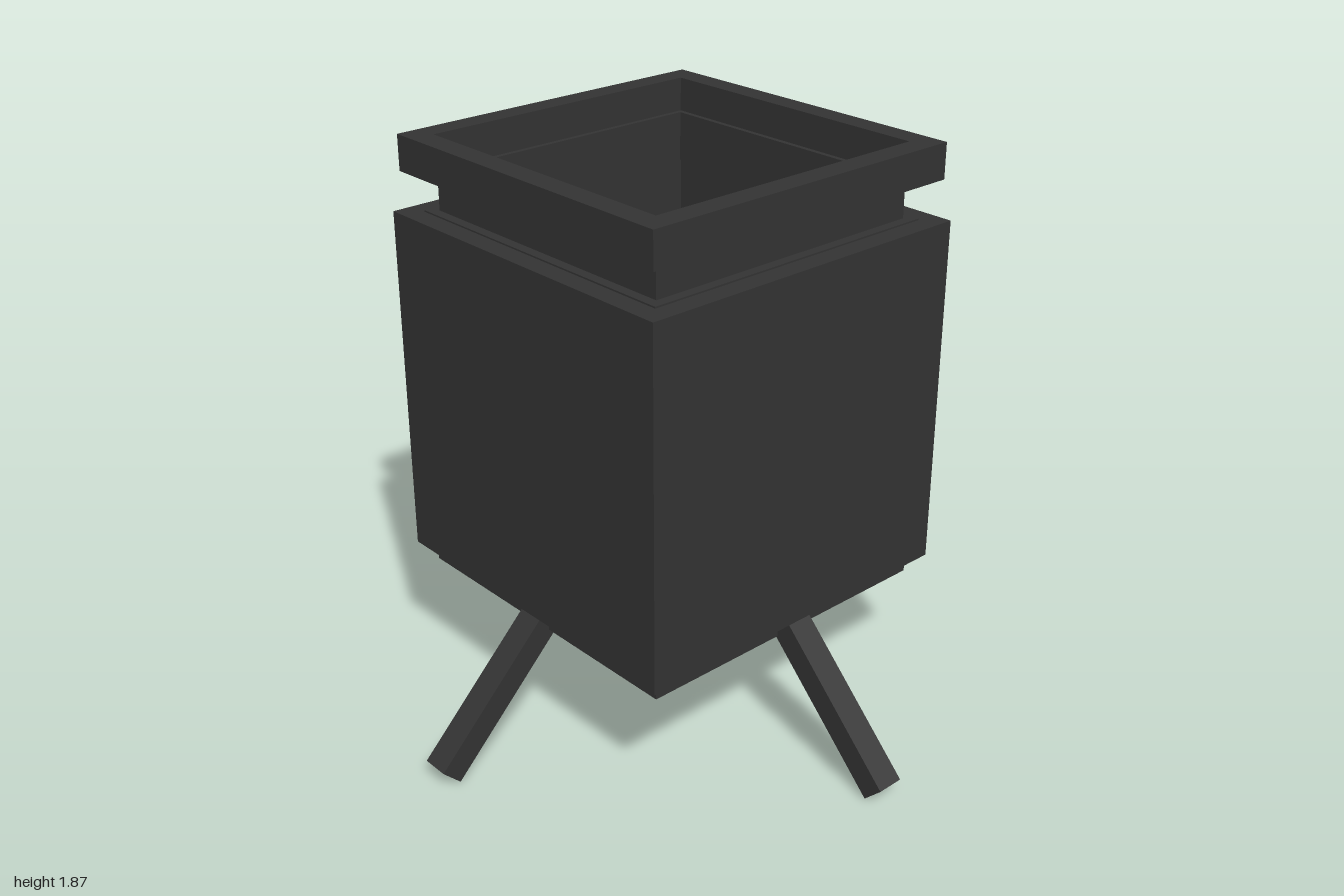
import * as THREE from 'three';

const material = new THREE.MeshStandardMaterial({ color: 0x333333, flatShading: true });

function add(parent, name, geometry) {
  const mesh = new THREE.Mesh(geometry, material);
  mesh.name = name;
  parent.add(mesh);
  return mesh;
}

// Square frame: outer and inner half-widths, between heights y0 and y1
function squareFrame(outer, inner, y0, y1) {
  const corners = (r) => [[-r, -r], [r, -r], [r, r], [-r, r]].map(([x, y]) => new THREE.Vector2(x, y));
  const shape = new THREE.Shape(corners(outer));
  shape.holes.push(new THREE.Path(corners(inner).reverse()));
  const geometry = new THREE.ExtrudeGeometry(shape, { depth: y1 - y0, bevelEnabled: false });
  return geometry.rotateX(-Math.PI / 2).translate(0, y0, 0);
}

export function createModel() {
  const model = new THREE.Group();
  model.name = 'brazier';

  // Hollow body with its base plate
  add(model, 'basePlate', new THREE.BoxGeometry(1.1, 0.07, 1.1).translate(0, 0.435, 0));
  add(model, 'bodyWalls', squareFrame(0.598, 0.52, 0.462, 1.622));

  // Stepped open top
  add(model, 'neckFlange', squareFrame(0.53, 0.48, 1.59, 1.627));
  add(model, 'neck', squareFrame(0.497, 0.48, 1.62, 1.755));
  add(model, 'rim', squareFrame(0.578, 0.5, 1.75, 1.865));

  // Four splayed legs, sloping down at 45 degrees
  const thickness = 0.085;
  const length = 0.58;
  for (let i = 0; i < 4; i++) {
    const foot = i % 2 ? 0.945 : 0.97;
    const pivot = new THREE.Group();
    pivot.name = 'legMount';
    pivot.rotation.y = i * Math.PI / 2;
    const leg = add(pivot, 'leg', new THREE.BoxGeometry(0.09, thickness, length));
    leg.rotation.x = Math.PI / 4;
    const half = (length / 2) * Math.SQRT1_2;
    leg.position.set(0, thickness / 2 * Math.SQRT1_2 + half, foot - half);
    model.add(pivot);
  }
  return model;
}
